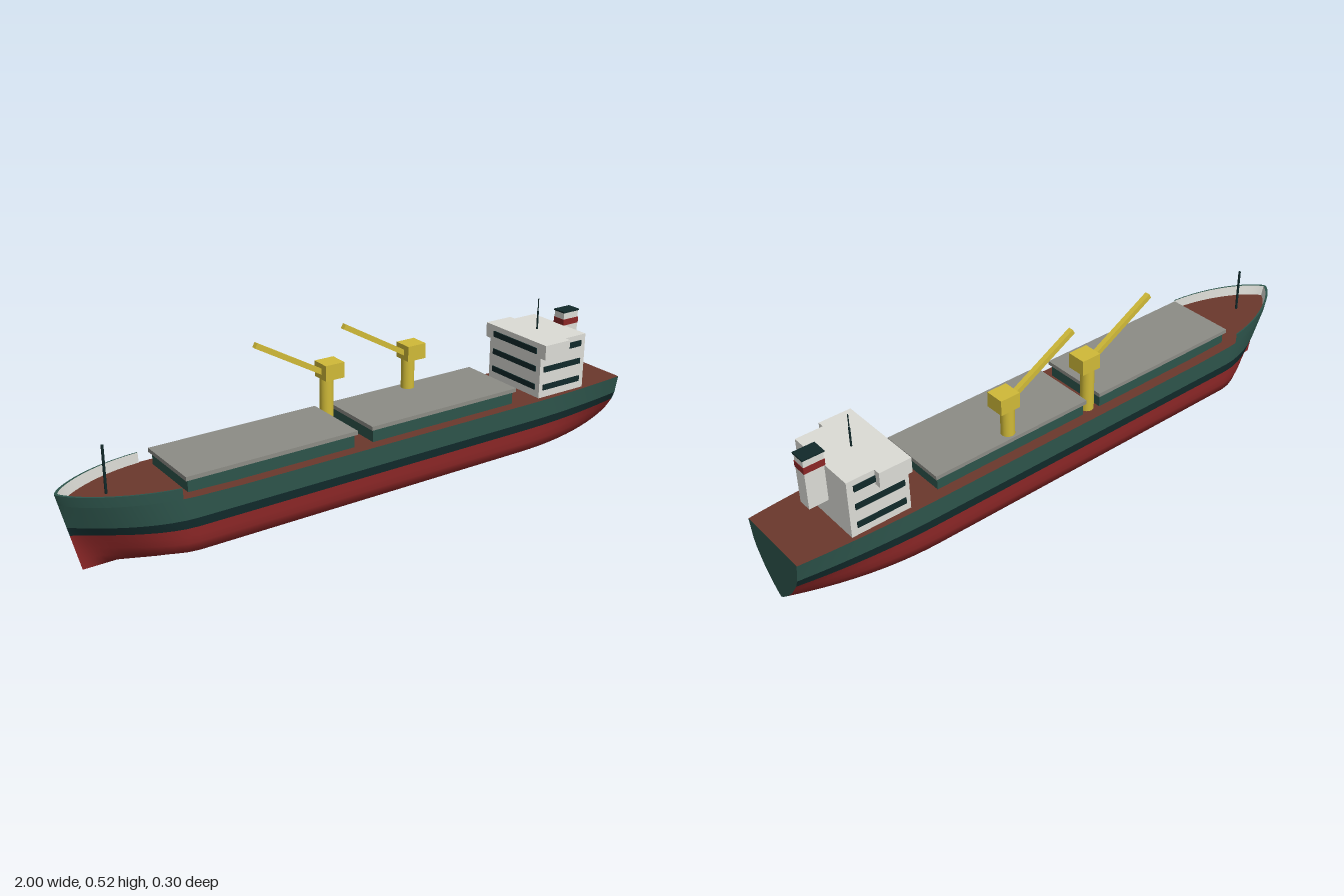
import * as THREE from 'three';

const material = (name, color) => {
  const m = new THREE.MeshStandardMaterial({ color });
  m.name = name;
  return m;
};
const clamp01 = (v) => Math.min(1, Math.max(0, v));

// Hull section: heights, midship half widths, transom half widths, bow sharpness
const HEIGHTS = [0, 0.013, 0.037, 0.067, 0.09, 0.115, 0.142];
const MID = [0, 0.09, 0.143, 0.15, 0.15, 0.15, 0.15, 0.15, 0.15];
const TRANSOM = [0, 0.018, 0.046, 0.073, 0.089, 0.105, 0.116, 0.128, 0.128];
const BOW = [2.2, 2.1, 1.9, 1.6, 1.4, 1.2, 1.0, 0.75, 0.72];
const DECK = 7, RAIL = 8;

const sheer = (u) => 0.205 + 0.012 * clamp01((-0.5 - u) / 0.5);

// Point on the hull at station u and height row j; side is +1 or -1
function hullPoint(u, j, side, inset = 0) {
  const y = j < DECK ? HEIGHTS[j] : sheer(u) + (j === RAIL ? 0.033 : 0);
  const x = u + (0.06 - 0.24 * y) * clamp01((-0.6 - u) / 0.4);
  const s = clamp01((-0.65 - u) / 0.35);
  const t = clamp01((u - 0.55) / 0.45) ** 2;
  const bow = Math.pow(1 - Math.pow(s, 1.8), BOW[j]);
  const w = (MID[j] * (1 - t) + TRANSOM[j] * t) * bow;
  return [x + inset * 2 * s, y, side * Math.max(0, w - inset)];
}

// Surface through equal rows of points
function surface(rows, flip = false) {
  const n = rows[0].length, index = [];
  for (let i = 0; i < rows.length - 1; i++) {
    for (let j = 0; j < n - 1; j++) {
      const a = i * n + j, b = a + n, c = b + 1, d = a + 1;
      if (flip) index.push(a, d, b, b, d, c);
      else index.push(a, b, d, b, c, d);
    }
  }
  const g = new THREE.BufferGeometry();
  g.setAttribute('position', new THREE.Float32BufferAttribute(rows.flat(2), 3));
  g.setIndex(index);
  g.computeVertexNormals();
  return g;
}

export function createModel() {
  const ship = new THREE.Group();
  ship.name = 'cargoShip';
  const green = material('hull green', 0x2d544b);
  const red = material('antifouling red', 0x8a2626);
  const dark = material('dark trim', 0x11292a);
  const brown = material('deck brown', 0x6b382c);
  const white = material('superstructure white', 0xdcdcd6);
  const grey = material('hatch grey', 0x8c8c86);
  const yellow = material('crane yellow', 0xd0ba38);

  const add = (name, geometry, mat, parent = ship) => {
    const mesh = new THREE.Mesh(geometry, mat);
    mesh.name = name;
    parent.add(mesh);
    return mesh;
  };
  // Box given by its minimum and maximum on each axis
  const box = (name, [x0, x1], [y0, y1], [z0, z1], mat, parent) => {
    const mesh = add(name, new THREE.BoxGeometry(x1 - x0, y1 - y0, z1 - z0), mat, parent);
    mesh.position.set((x0 + x1) / 2, (y0 + y1) / 2, (z0 + z1) / 2);
    return mesh;
  };
  const post = (name, x, z, y0, y1, r, mat, parent) => {
    const mesh = add(name, new THREE.CylinderGeometry(r, r, y1 - y0, 16), mat, parent);
    mesh.position.set(x, (y0 + y1) / 2, z);
    return mesh;
  };

  // Stations, closest together at the bow
  const bowStations = [];
  for (let k = 0; k <= 15; k++) bowStations.push(-1 + 0.35 * (k / 15.94) ** 2);
  const stations = [...bowStations, -0.65, -0.6, -0.5, -0.2, 0.1, 0.4];
  for (let k = 0; k <= 10; k++) stations.push(0.55 + 0.045 * k);

  // Hull sides in three painted bands
  for (const side of [1, -1]) {
    const band = (name, rows, mat) =>
      add(name, surface(stations.map((u) => rows.map((j) => hullPoint(u, j, side))), side < 0), mat);
    band('lowerHull', [0, 1, 2, 3, 4, 5], red);
    band('waterlineBand', [5, 6], dark);
    band('upperHull', [6, DECK], green);

    // Bow bulwark: outside, inside and cap
    const strip = (name, pick, mat, flip) => add(name, surface(bowStations.map(pick), flip), mat);
    strip('bulwarkOutside', (u) => [hullPoint(u, DECK, side), hullPoint(u, RAIL, side)], green, side < 0);
    strip('bulwarkInside', (u) => [hullPoint(u, DECK, side, 0.004), hullPoint(u, RAIL, side, 0.004)], white, side > 0);
    strip('bulwarkCap', (u) => [hullPoint(u, RAIL, side), hullPoint(u, RAIL, side, 0.004)], green, side < 0);
  }
  add('deck', surface(stations.map((u) => [hullPoint(u, DECK, 1), hullPoint(u, DECK, -1)])), brown);
  const levels = [0, 1, 2, 3, 4, 5, 6, DECK];
  add('transom', surface([1, -1].map((side) => levels.map((j) => hullPoint(1, j, side)))), green);

  // Cargo hatches
  for (const [x0, x1] of [[-0.665, -0.09], [-0.037, 0.535]]) {
    box('hatchCoaming', [x0 + 0.008, x1 - 0.008], [0.2, 0.247], [-0.113, 0.113], green);
    box('hatchCover', [x0, x1], [0.247, 0.26], [-0.121, 0.121], grey);
  }

  // Deck cranes
  for (const x of [-0.065, 0.25]) {
    const crane = new THREE.Group();
    crane.name = 'crane';
    crane.position.set(x, 0, -0.091);
    ship.add(crane);
    post('cranePillar', 0, 0, 0.2, 0.365, 0.022, yellow, crane);
    box('craneCab', [-0.022, 0.047], [0.36, 0.411], [-0.032, 0.032], yellow, crane);
    const from = new THREE.Vector2(0, 0.373), to = new THREE.Vector2(-0.25, 0.515);
    const jib = add('craneJib', new THREE.BoxGeometry(from.distanceTo(to), 0.017, 0.017), yellow, crane);
    jib.position.set((from.x + to.x) / 2, (from.y + to.y) / 2, 0);
    jib.rotation.z = Math.atan2(to.y - from.y, to.x - from.x);
  }

  // Deckhouse with bridge wings
  box('deckhouse', [0.63, 0.826], [0.2, 0.395], [-0.128, 0.128], white);
  for (const side of [1, -1]) {
    const z = side > 0 ? [0.12, 0.15] : [-0.15, -0.12];
    box('bridgeWing', [0.63, 0.736], [0.345, 0.395], z, white);
  }

  // Window bands on the sides and forward face
  [[0.231, 0.25], [0.294, 0.313], [0.356, 0.376]].forEach((y, row) => {
    for (const side of [1, -1]) {
      const z = side > 0 ? [0.126, 0.132] : [-0.132, -0.126];
      box('sideWindows', [row === 2 ? 0.736 : 0.645, 0.806], y, z, dark);
    }
    box('forwardWindows', [0.626, 0.632], y, [-0.108, 0.108], dark);
  });

  // Funnel
  box('funnel', [0.824, 0.888], [0.272, 0.438], [-0.0225, 0.0225], white);
  box('funnelBand', [0.8225, 0.8895], [0.394, 0.415], [-0.024, 0.024], red);
  box('funnelCap', [0.821, 0.891], [0.438, 0.443], [-0.025, 0.025], dark);

  // Masts
  post('radarMastBase', 0.725, 0, 0.395, 0.458, 0.003, dark);
  post('radarMast', 0.725, 0, 0.458, 0.502, 0.0017, dark);
  post('foremast', -0.852, 0, 0.205, 0.36, 0.004, dark);
  return ship;
}
